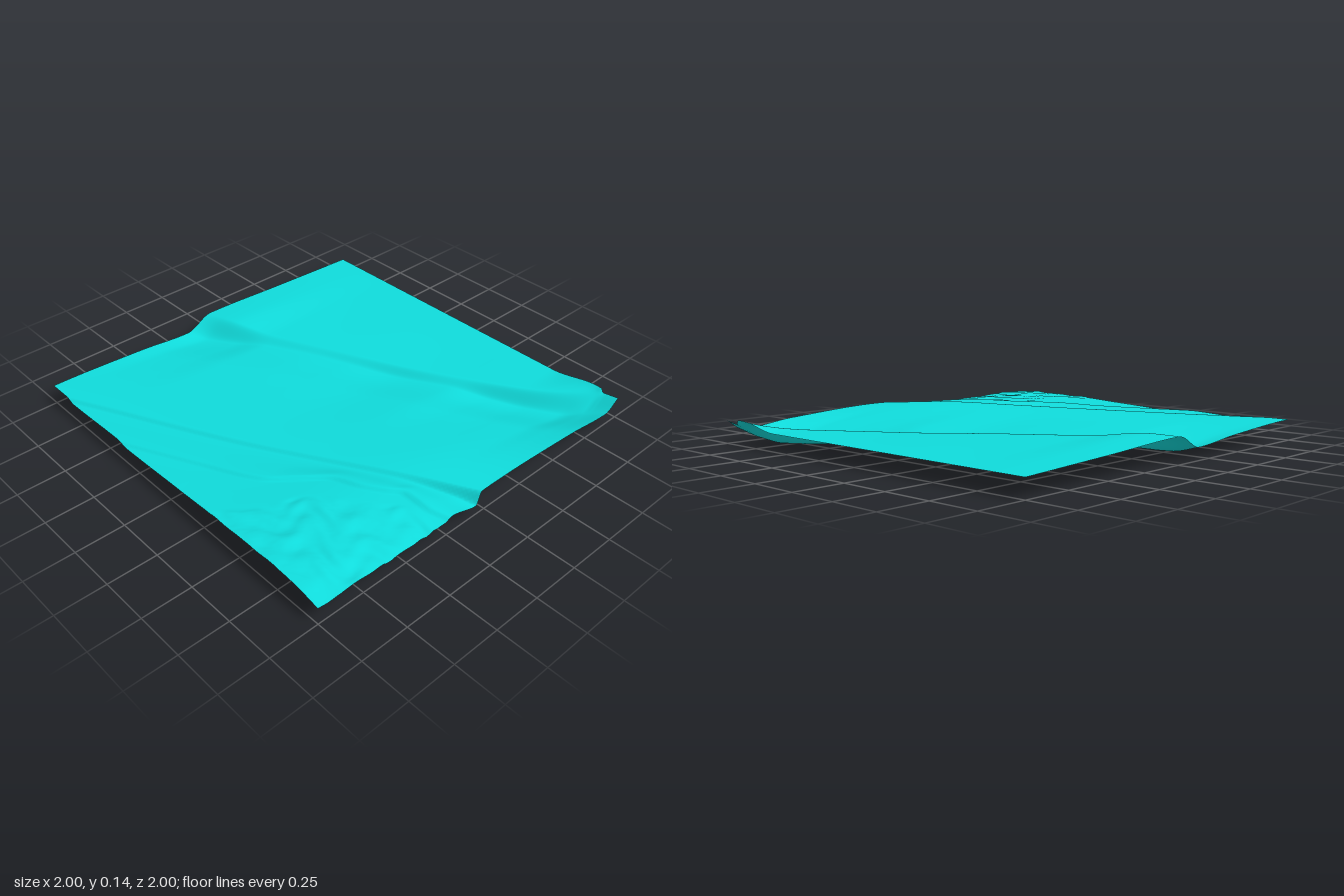
import * as THREE from 'three';

// Monotone cubic through points [[x, y], ...]
function curve(pts) {
  const n = pts.length;
  const slope = [];
  for (let i = 0; i < n - 1; i++) slope.push((pts[i + 1][1] - pts[i][1]) / (pts[i + 1][0] - pts[i][0]));
  const tan = pts.map((_, i) => {
    if (i === 0) return slope[0];
    if (i === n - 1) return slope[n - 2];
    const a = slope[i - 1], b = slope[i];
    return a * b <= 0 ? 0 : (2 * a * b) / (a + b);
  });
  return (x) => {
    let i = 0;
    while (i < n - 2 && x > pts[i + 1][0]) i++;
    const w = pts[i + 1][0] - pts[i][0];
    const t = THREE.MathUtils.clamp((x - pts[i][0]) / w, 0, 1);
    const t2 = t * t, t3 = t2 * t;
    return (2 * t3 - 3 * t2 + 1) * pts[i][1] + (t3 - 2 * t2 + t) * w * tan[i]
      + (3 * t2 - 2 * t3) * pts[i + 1][1] + (t3 - t2) * w * tan[i + 1];
  };
}

// Paths of the bank and the two steps (z along x)
const bankZ = curve([[-1, 0.09], [-0.8, 0.01], [-0.4, -0.19], [0, -0.39], [0.4, -0.61], [0.7, -0.79], [1, -0.99]]);
const upperStepZ = curve([[-1, 1.08], [-0.85, 1], [0, 0.59], [0.5, 0.32], [1, 0.04]]);
const lowerStepZ = curve([[-1, 1.3], [-0.38, 1], [0, 0.82], [0.27, 0.69], [0.38, 0.58], [0.5, 0.46],
  [0.62, 0.41], [0.72, 0.34], [0.78, 0.29], [0.9, 0.28], [1, 0.24]]);
const roughZ = curve([[0.2, 1.1], [0.3, 0.97], [0.42, 0.8], [0.5, 0.6], [0.62, 0.5], [0.75, 0.4], [0.85, 0.31], [1, 0.29]]);

// Heights along each feature line
const backH = curve([[-1, 0.09], [0, 0.09], [0.6, 0.09], [0.87, 0.13], [1, 0.12]]);
const crestH = curve([[-1, 0.13], [-0.85, 0.135], [-0.62, 0.112], [-0.2, 0.1], [0.2, 0.088], [0.6, 0.086], [0.85, 0.1], [1, 0.12]]);
const ditchH = curve([[-1, 0.065], [-0.9, 0.042], [-0.75, 0.052], [-0.6, 0.073], [-0.4, 0.075], [-0.2, 0.068],
  [0.1, 0.046], [0.3, 0.05], [0.5, 0.02], [0.66, 0.005], [0.8, 0.004], [0.9, 0.03], [1, 0.068]]);
const upperTopH = curve([[-1, 0.11], [-0.45, 0.115], [0, 0.122], [0.3, 0.13], [0.65, 0.14], [1, 0.125]]);
const upperFootH = curve([[-1, 0.09], [0, 0.102], [0.3, 0.11], [0.65, 0.118], [0.9, 0.085], [1, 0.055]]);
const lowerTopH = curve([[-1, 0.1], [0, 0.115], [0.3, 0.128], [0.6, 0.142], [0.85, 0.125], [1, 0.095]]);
const lowerFootH = curve([[-1, 0.085], [0, 0.1], [0.3, 0.112], [0.6, 0.126], [0.85, 0.11], [1, 0.08]]);
const frontH = curve([[-1, 0.1], [0, 0.11], [0.4, 0.128], [0.7, 0.132], [0.88, 0.122], [1, 0.092]]);

// Stepped ripples on the broken ground
function ripples(x, z) {
  const u = x + z, v = x - z;
  const warp = 0.6 * Math.sin(9 * v + 4 * x) + 0.5 * Math.sin(17 * v - 6 * z + 1);
  const n = Math.sin(26 * u + 3 * warp) + 0.7 * Math.sin(41 * u - 11 * v + 2 * warp) + 0.5 * Math.sin(33 * v + 24 * z);
  const level = Math.floor(n * 1.5);
  const edge = THREE.MathUtils.smoothstep(n * 1.5 - level, 0.3, 0.9);
  return (level + edge) * 0.0023;
}

// Cross-section running from back to front at one x
function section(x) {
  const b = bankZ(x), u = upperStepZ(x), l = lowerStepZ(x);
  const bankWidth = 0.03 + 0.05 * Math.pow(Math.abs(x), 4);
  const crest = Math.max(b - bankWidth, -1);
  const points = [];
  if (crest > -0.99) points.push([-1.001, backH(x)]);
  if (crest > -0.6) points.push([(crest - 1) / 2, (backH(x) + crestH(x)) / 2]);
  points.push(
    [crest, crestH(x)],
    [b + bankWidth, ditchH(x)],
    [b + bankWidth + 0.3, THREE.MathUtils.lerp(ditchH(x), upperTopH(x), 0.52)],
    [u - 0.08, upperTopH(x)],
    [u - 0.012, upperTopH(x) - 0.001],
    [u + 0.016, upperFootH(x)],
    [l - 0.014, lowerTopH(x)],
    [l + 0.014, lowerFootH(x)],
    [Math.max(1, l + 0.2), frontH(x)],
  );
  return curve(points);
}

export function createModel() {
  const group = new THREE.Group();
  group.name = 'terrain';
  const turquoise = new THREE.MeshStandardMaterial({ color: 0x10dcdc, side: THREE.DoubleSide });
  turquoise.name = 'turquoise';

  // Ground sheet shaped by the cross-sections
  const cells = 180;
  const geometry = new THREE.PlaneGeometry(2, 2, cells, cells).rotateX(-Math.PI / 2);
  const sections = [];
  for (let i = 0; i <= cells; i++) sections.push(section(-1 + (2 * i) / cells));
  const pos = geometry.attributes.position;
  for (let i = 0; i < pos.count; i++) {
    const x = pos.getX(i), z = pos.getZ(i);
    let y = sections[i % (cells + 1)](z);
    if (x > 0.2) y += ripples(x, z) * THREE.MathUtils.smoothstep(z - roughZ(x), 0, 0.06);
    pos.setY(i, y);
  }
  geometry.computeBoundingBox();
  geometry.translate(0, -geometry.boundingBox.min.y, 0);
  geometry.computeVertexNormals();

  const ground = new THREE.Mesh(geometry, turquoise);
  ground.name = 'groundSurface';
  group.add(ground);
  return group;
}
